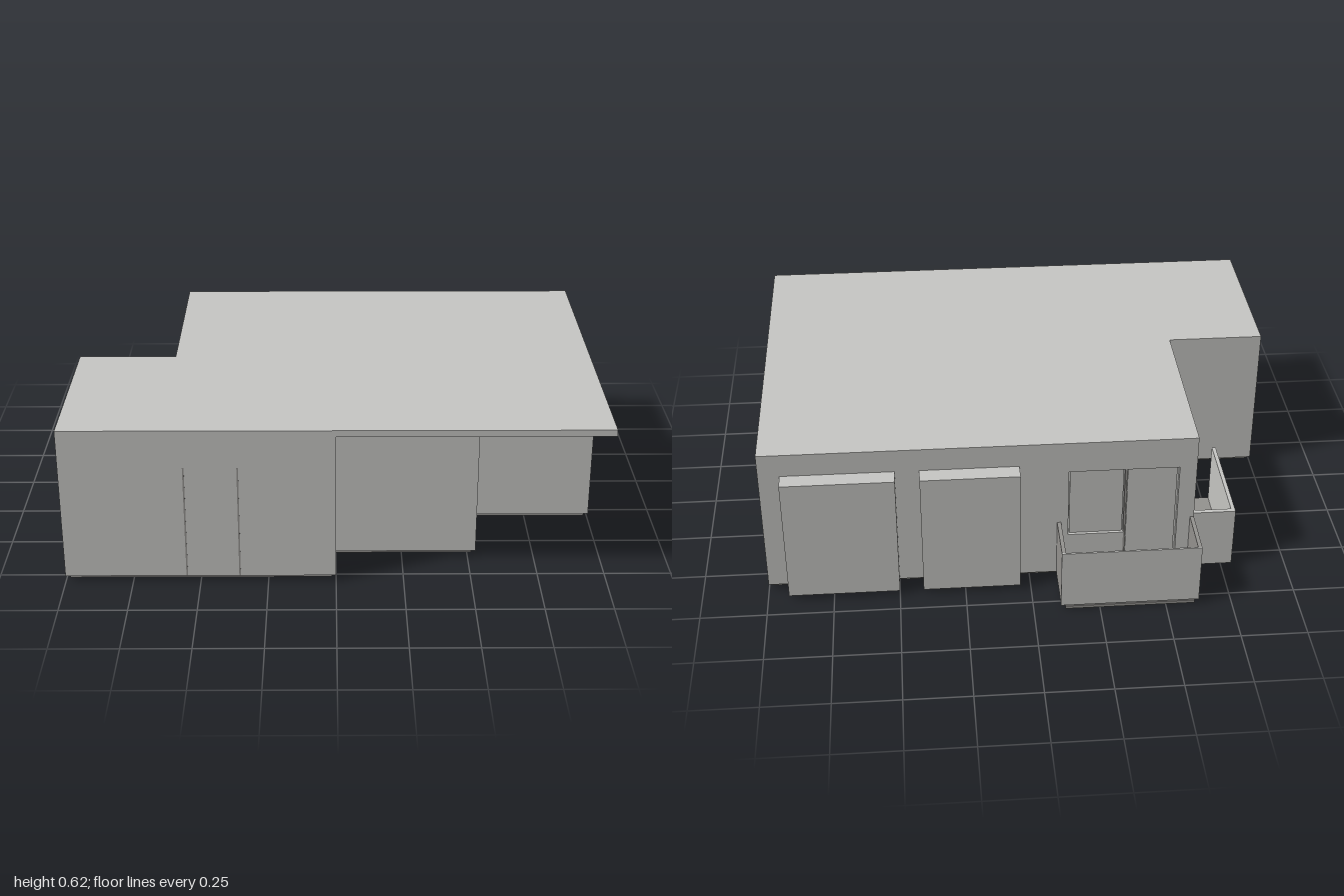
import * as THREE from 'three';

export function createModel() {
  const model = new THREE.Group();
  const light = new THREE.MeshStandardMaterial({ color: 0xc8c8c5 });
  light.name = 'pale grey wall';
  const dark = new THREE.MeshStandardMaterial({ color: 0x959390 });
  dark.name = 'dark grey trim';

  const add = (name, geometry, material, parent = model) => {
    const mesh = new THREE.Mesh(geometry, material);
    mesh.name = name;
    parent.add(mesh);
    return mesh;
  };

  // Box given by its limits on each axis
  const box = (name, [x0, x1], [y0, y1], [z0, z1], material, parent) => {
    const g = new THREE.BoxGeometry(x1 - x0, y1 - y0, z1 - z0);
    g.translate((x0 + x1) / 2, (y0 + y1) / 2, (z0 + z1) / 2);
    return add(name, g, material, parent);
  };

  // Floor plan of [x, z] corners raised from y0 to y1
  const slab = (name, plan, y0, y1, material) => {
    const shape = new THREE.Shape(plan.map(([x, z]) => new THREE.Vector2(x, -z)));
    const g = new THREE.ExtrudeGeometry(shape, { depth: y1 - y0, bevelEnabled: false });
    g.rotateX(-Math.PI / 2).translate(0, y0, 0);
    return add(name, g, material);
  };

  // Stepped house plan, inset by d, with an optional recess in the back wall
  const housePlan = (d, recess = []) => [
    [-1 + d, 0.8 - d], [0 - d, 0.8 - d], [0 - d, 0.62 - d], [0.53 - d, 0.62 - d],
    [0.53 - d, 0.33 - d], [1 - d, 0.33 - d], [1 - d, -0.6 + d], ...recess,
    [-0.625 + d, -0.6 + d], [-0.625 + d, 0.12 + d], [-1 + d, 0.12 + d],
  ];

  // Base, walls and overhanging roof
  const recess = [[-0.145, -0.6], [-0.145, -0.58], [-0.56, -0.58], [-0.56, -0.6]];
  slab('base', housePlan(0.015), 0.01, 0.025, dark);
  slab('lowerWalls', housePlan(0, recess), 0.025, 0.49, light);
  slab('upperWalls', housePlan(0), 0.49, 0.592, light);
  slab('roof', [[-1, 0.8], [1, 0.8], [1, -0.6], [-0.625, -0.6], [-0.625, 0.12], [-1, 0.12]],
    0.592, 0.617, light);

  // Front door joints
  for (const x of [-0.55, -0.355]) {
    box('frontDoorJoint', [x - 0.003, x + 0.003], [0.025, 0.47], [0.796, 0.801], dark);
  }

  // Side window: pane over a slightly larger dark edge
  box('sideWindowEdge', [-1.001, -0.996], [0.25, 0.48], [0.19, 0.39], dark);
  box('sideWindowPane', [-1.002, -0.996], [0.255, 0.475], [0.195, 0.385], light);

  // Balcony door and window in the back recess
  box('balconyDoor', [-0.553, -0.367], [0.025, 0.482], [-0.588, -0.578], light);
  box('balconyDoorPost', [-0.364, -0.356], [0.025, 0.49], [-0.596, -0.578], dark);
  box('balconyWindow', [-0.352, -0.15], [0.2, 0.482], [-0.588, -0.578], light);
  box('balconySill', [-0.356, -0.145], [0.025, 0.2], [-0.6, -0.578], light);

  // Closed bays on the back wall
  for (const [x0, x1] of [[0.04, 0.41], [0.5, 0.92]]) {
    box('backBay', [x0, x1], [0.02, 0.525], [-0.667, -0.595], light);
  }

  // Back balcony
  const backBalcony = new THREE.Group();
  backBalcony.name = 'backBalcony';
  model.add(backBalcony);
  box('floor', [-0.61, -0.12], [0, 0.012], [-0.796, -0.6], dark, backBalcony);
  box('frontPanel', [-0.625, -0.102], [0.02, 0.262], [-0.8, -0.793], light, backBalcony);
  for (const x of [-0.625, -0.118]) {
    box('endPanel', [x, x + 0.015], [0.02, 0.26], [-0.793, -0.6], dark, backBalcony);
  }

  // Side balcony
  const sideBalcony = new THREE.Group();
  sideBalcony.name = 'sideBalcony';
  model.add(sideBalcony);
  box('floor', [-0.775, -0.625], [0, 0.012], [-0.56, -0.143], dark, sideBalcony);
  box('sidePanel', [-0.79, -0.775], [0.012, 0.26], [-0.58, -0.143], light, sideBalcony);
  box('endPanel', [-0.775, -0.625], [0.012, 0.26], [-0.58, -0.562], light, sideBalcony);

  return model;
}
